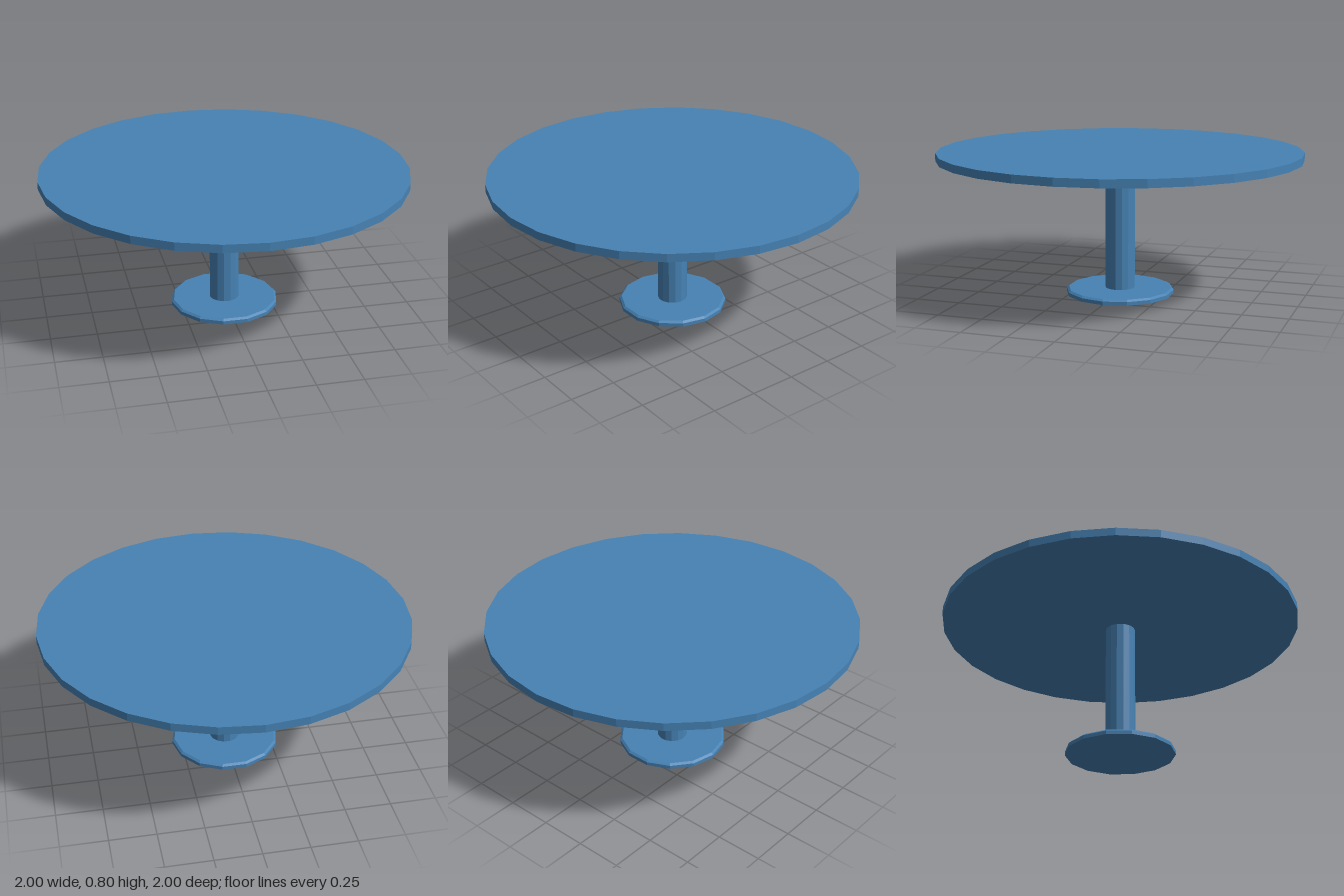
import * as THREE from 'three';

const material = new THREE.MeshStandardMaterial({ color: 0x4682b4, flatShading: true });

// Upright faceted drum from y0 to y1, with corners on the x axis
function drum(name, rTop, rBottom, y0, y1, sides, open = false) {
  const geometry = new THREE.CylinderGeometry(rTop, rBottom, y1 - y0, sides, 1, open);
  geometry.rotateY(Math.PI / 2);
  geometry.translate(0, (y0 + y1) / 2, 0);
  const mesh = new THREE.Mesh(geometry, material);
  mesh.name = name;
  return mesh;
}

export function createModel() {
  const table = new THREE.Group();
  table.name = 'roundPedestalTable';

  // Round top and central post
  table.add(drum('tableTop', 1, 1, 0.757, 0.8, 28));
  table.add(drum('post', 0.082, 0.082, 0.03, 0.757, 14, true));

  // Foot plate with a chamfered upper rim
  const foot = new THREE.Group();
  foot.name = 'footPlate';
  foot.add(drum('footRim', 0.3, 0.3, 0, 0.02, 14));
  foot.add(drum('footChamfer', 0.288, 0.3, 0.02, 0.03, 14));
  table.add(foot);

  return table;
}
